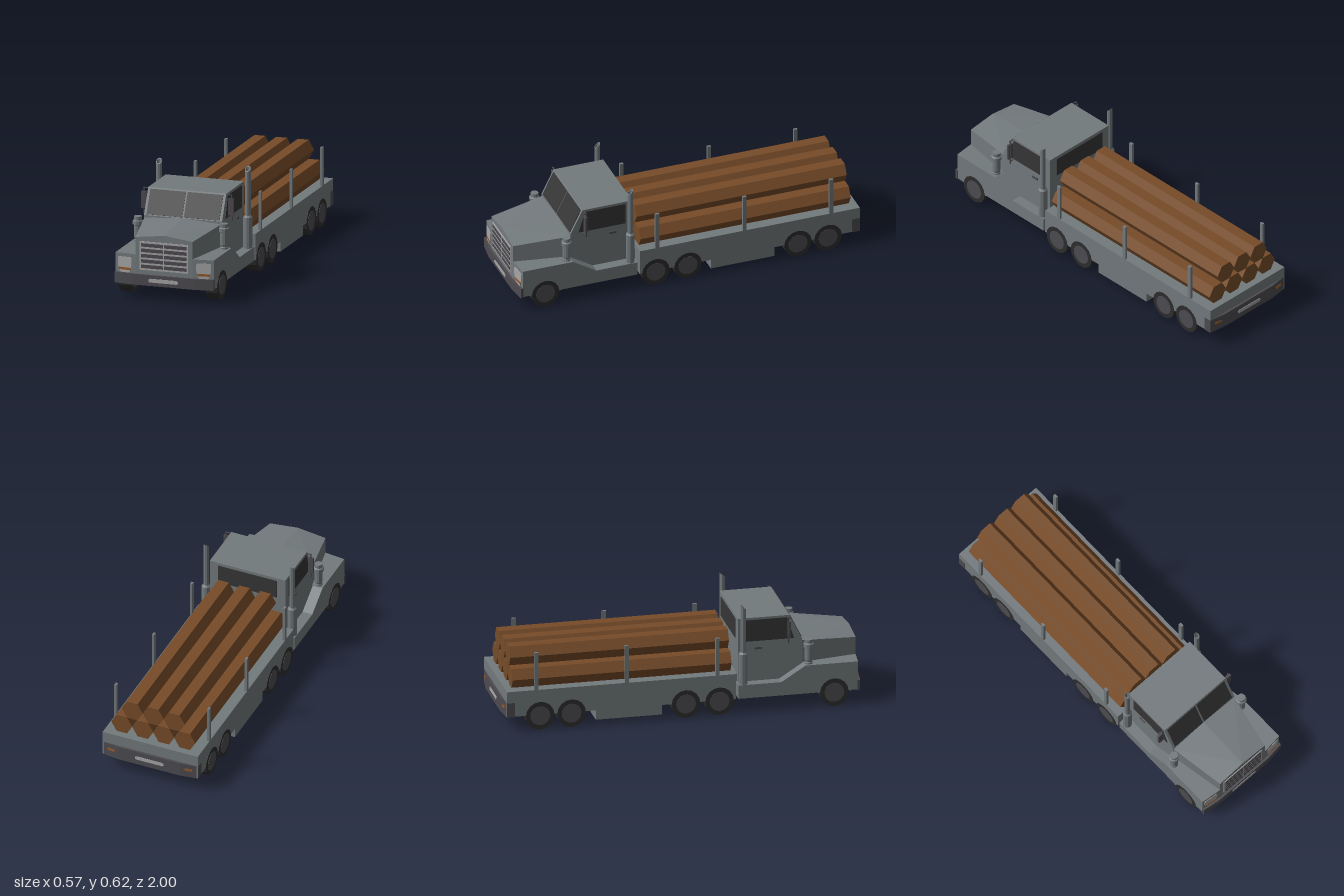
import * as THREE from 'three';
import { ConvexGeometry } from 'three/addons/geometries/ConvexGeometry.js';

const paint = (name, color) => {
  const m = new THREE.MeshStandardMaterial({ color });
  m.name = name;
  return m;
};

export function createModel() {
  const body = paint('bodyGrey', 0x737a7d);
  const trim = paint('darkTrim', 0x4d4b50);
  const glass = paint('glass', 0x363636);
  const rubber = paint('rubber', 0x2d2d2d);
  const silver = paint('silver', 0xa6a6a6);
  const amber = paint('amber', 0x96592a);
  const wood = paint('wood', 0x774c29);
  const model = new THREE.Group();
  model.name = 'logTruck';

  // Adds a faceted mesh
  function add(name, geometry, material, x = 0, y = 0, z = 0) {
    const g = geometry.index ? geometry.toNonIndexed() : geometry;
    g.computeVertexNormals();
    const mesh = new THREE.Mesh(g, material);
    mesh.name = name;
    mesh.position.set(x, y, z);
    model.add(mesh);
    return mesh;
  }
  const box = (name, mat, w, h, d, x, y, z) => add(name, new THREE.BoxGeometry(w, h, d), mat, x, y, z);
  const extrude = (pts, depth) => new THREE.ExtrudeGeometry(
    new THREE.Shape(pts.map(p => new THREE.Vector2(...p))), { depth, bevelEnabled: false });
  // Side profile of (z, y) points spanning x0 to x1
  const sideProfile = (pts, x0, x1) => extrude(pts, x1 - x0).rotateY(-Math.PI / 2).translate(x1, 0, 0);
  // Plan outline of (x, z) points spanning y0 to y1
  const plan = (pts, y0, y1) => extrude(pts, y1 - y0).rotateX(Math.PI / 2).translate(0, y1, 0);
  const lathe = (pts, sides) => new THREE.LatheGeometry(pts.map(p => new THREE.Vector2(...p)), sides);

  // Cab and hood
  add('cab', sideProfile([[0.315, 0.085], [0.68, 0.085], [0.673, 0.387], [0.603, 0.527], [0.315, 0.527]], -0.225, 0.225), body);
  const hood = [];
  for (const [z, w, side, mid] of [[0.986, 0.165, 0.345, 0.365], [0.672, 0.222, 0.373, 0.387]]) {
    for (const s of [-1, 1]) hood.push(new THREE.Vector3(s * w, 0.085, z), new THREE.Vector3(s * w, side, z));
    hood.push(new THREE.Vector3(0, mid, z));
  }
  add('hood', new ConvexGeometry(hood), body);
  box('hitchLink', body, 0.42, 0.12, 0.05, 0, 0.145, 0.305);

  // Windows
  const tilt = -Math.atan2(0.07, 0.14);
  for (const s of [-1, 1]) {
    box('windshield', glass, 0.205, 0.143, 0.006, s * 0.1075, 0.455, 0.639).rotation.x = tilt;
    add('sideWindow', sideProfile([[0.357, 0.392], [0.628, 0.392], [0.59, 0.515], [0.357, 0.515]], -0.003, 0.003),
      glass, s * 0.226, 0, 0);
    box('doorHandle', trim, 0.008, 0.012, 0.04, s * 0.227, 0.35, 0.428);
  }
  box('rearWindow', glass, 0.35, 0.11, 0.006, 0, 0.455, 0.314);

  // Grille
  box('grille', silver, 0.28, 0.16, 0.008, 0, 0.245, 0.986);
  for (let i = 0; i < 5; i++) {
    for (const s of [-1, 1]) box('grilleSlot', trim, 0.127, 0.019, 0.004, s * 0.067, 0.185 + i * 0.03, 0.99);
  }

  // Bumpers, with angled corners
  const bumperPlan = (inner, outer, tip) =>
    [[-0.284, inner], [0.284, inner], [0.284, outer], [0.18, tip], [-0.18, tip], [-0.284, outer]];
  add('frontBumper', plan(bumperPlan(0.968, 0.984, 0.998), 0.08, 0.14), trim);
  add('rearBumper', plan(bumperPlan(-0.94, -0.984, -0.998), 0.083, 0.165), trim);
  const badge = [[-0.085, 0.105], [-0.078, 0.1], [0.078, 0.1], [0.085, 0.105], [0.085, 0.115],
    [0.075, 0.121], [-0.075, 0.121], [-0.085, 0.115]];
  add('frontPlate', extrude(badge, 0.004), silver, 0, 0, 0.996);
  add('rearPlate', extrude(badge, 0.004), silver, 0, 0.015, -1.0);

  // Trailer bed
  box('bed', body, 0.566, 0.145, 1.278, 0, 0.1575, -0.346);

  for (const s of [-1, 1]) {
    // Fender sweeping down into the running board
    const [x0, x1] = s > 0 ? [0.165, 0.283] : [-0.283, -0.165];
    const fender = sideProfile([[0.305, 0.085], [0.985, 0.085], [0.985, 0.247], [0.68, 0.247],
      [0.545, 0.162], [0.305, 0.162]], x0, x1);
    const p = fender.attributes.position;
    for (let i = 0; i < p.count; i++) {
      if (p.getZ(i) > 0.9 && Math.abs(p.getX(i)) > 0.25) p.setZ(i, 0.972);
    }
    add('fender', fender, body);

    // Headlight with amber turn signal
    const lamp = [[-0.042, 0.185], [-0.036, 0.165], [-0.033, 0.152], [-0.025, 0.141], [0.025, 0.141],
      [0.033, 0.152], [0.036, 0.165], [0.042, 0.185], [0.042, 0.22], [0.035, 0.227], [-0.035, 0.227], [-0.042, 0.22]];
    add('headlight', extrude(lamp, 0.004), silver, s * 0.227, 0, 0.977).rotation.y = s * 0.11;
    box('turnSignal', amber, 0.07, 0.013, 0.004, s * 0.227, 0.162, 0.981).rotation.y = s * 0.11;
    box('tailLight', amber, 0.045, 0.014, 0.004, s * 0.23, 0.13, -0.992).rotation.y = -s * 0.135;

    // Air cleaner
    add('airCleaner', lathe([[0, 0.24], [0.022, 0.24], [0.022, 0.255], [0.019, 0.26], [0.022, 0.27], [0.022, 0.338],
      [0.029, 0.342], [0.029, 0.362], [0.022, 0.367], [0.022, 0.387], [0, 0.387]], 12), body, s * 0.248, 0, 0.705);

    // Exhaust stack with a hollow, slanted tip
    const stack = lathe([[0, 0.16], [0.025, 0.16], [0.025, 0.335], [0.016, 0.345], [0.016, 0.605],
      [0.012, 0.605], [0.012, 0.55], [0, 0.55]], 10);
    const q = stack.attributes.position;
    for (let i = 0; i < q.count; i++) if (q.getY(i) > 0.6) q.setY(i, 0.605 - q.getZ(i) * 0.9);
    add('exhaustStack', stack, body, s * 0.256, 0, 0.338);

    // Mirror on its bracket
    box('mirror', trim, 0.031, 0.095, 0.012, s * 0.251, 0.453, 0.597);
    box('mirrorArm', trim, 0.035, 0.005, 0.006, s * 0.238, 0.521, 0.597);
    box('mirrorPost', trim, 0.005, 0.15, 0.006, s * 0.253, 0.448, 0.592);
    box('mirrorFoot', trim, 0.03, 0.005, 0.006, s * 0.238, 0.385, 0.597);

    // Storage box under the bed
    box('storageBox', body, 0.128, 0.125, 0.37, s * 0.219, 0.0925, -0.305);

    // Stakes holding the load
    for (const z of [0.19, -0.317, -0.82]) box('stake', body, 0.014, 0.225, 0.022, s * 0.276, 0.3325, z);

    // Wheel arch and wheels
    const arch = new THREE.RingGeometry(0.082, 0.093, 12, 1, 0, Math.PI).rotateY(s * Math.PI / 2);
    add('wheelArch', arch, body, s * 0.2838, 0.082, 0.84);
    for (const z of [0.84, 0.2, 0.013, -0.625, -0.8]) {
      const tire = new THREE.CylinderGeometry(0.08, 0.08, 0.069, 16).rotateZ(Math.PI / 2);
      add('tire', tire, rubber, s * 0.25, 0.08, z);
      const hub = new THREE.CylinderGeometry(0.055, 0.055, 0.072, 16).rotateZ(Math.PI / 2);
      add('hub', hub, trim, s * 0.25, 0.08, z);
    }
  }

  // Hexagonal logs, four below and three above
  const R = 0.0622, rise = R * Math.sqrt(3);
  for (let row = 0; row < 2; row++) {
    const n = 4 - row;
    for (let i = 0; i < n; i++) {
      // Corners point sideways so the logs lie flat
      const log = new THREE.CylinderGeometry(R, R, 1.22, 6).rotateY(Math.PI / 6).rotateX(Math.PI / 2);
      add('log', log, wood, (i - (n - 1) / 2) * 0.125, 0.23 + rise * (row + 0.5), -0.335);
    }
  }
  return model;
}
